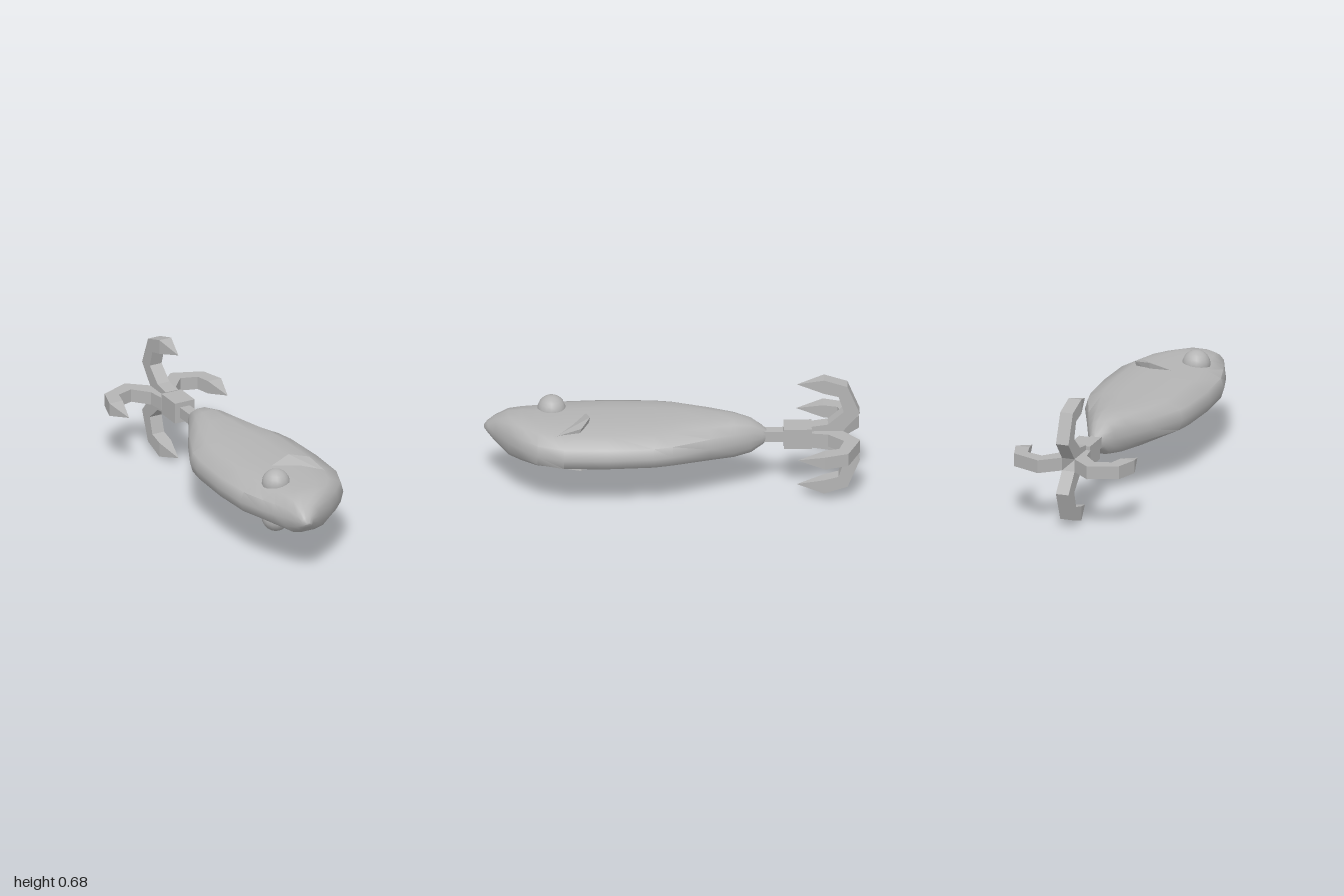
import * as THREE from 'three';
import { toCreasedNormals } from 'three/addons/utils/BufferGeometryUtils.js';
import { ConvexGeometry } from 'three/addons/geometries/ConvexGeometry.js';

const CY = 0.344; // height of the long axis

// Skin a list of equal-length rings and close both ends.
function loft(rings, crease) {
  const n = rings[0].length, idx = [];
  for (let i = 0; i < rings.length - 1; i++) {
    for (let j = 0; j < n; j++) {
      const a = i * n + j, b = i * n + (j + 1) % n;
      idx.push(a, b, b + n, a, b + n, a + n);
    }
  }
  const last = (rings.length - 1) * n;
  for (let j = 1; j < n - 1; j++) idx.push(0, j + 1, j, last, last + j, last + j + 1);
  const geo = new THREE.BufferGeometry();
  geo.setAttribute('position', new THREE.Float32BufferAttribute(rings.flat(2), 3));
  geo.setIndex(idx);
  return toCreasedNormals(geo, crease);
}

export function createModel() {
  const group = new THREE.Group();
  const grey = new THREE.MeshStandardMaterial({ color: 0xb4b4b4 });
  grey.name = 'plain grey';

  const add = (name, geo, parent = group) => {
    const mesh = new THREE.Mesh(geo, grey);
    mesh.name = name;
    parent.add(mesh);
    return mesh;
  };

  // Body: rounded slab sections from tail to nose [z, right x, left x, half height]
  const sections = [
    [-0.51, -0.02, 0.02, 0.025], [-0.48, -0.045, 0.045, 0.05], [-0.42, -0.075, 0.075, 0.09],
    [-0.33, -0.125, 0.115, 0.108], [-0.2, -0.2, 0.17, 0.11], [0, -0.298, 0.258, 0.11],
    [0.1, -0.315, 0.282, 0.11], [0.35, -0.326, 0.298, 0.11], [0.58, -0.312, 0.29, 0.11],
    [0.72, -0.268, 0.237, 0.11], [0.8, -0.236, 0.16, 0.11], [0.87, -0.205, 0.08, 0.105],
    [0.94, -0.175, -0.03, 0.065], [0.98, -0.158, -0.09, 0.03], [1, -0.14, -0.115, 0.005],
  ];
  const quarter = [[1, 0], [0.94, 0.5], [0.64, 0.88], [0.3, 1]];
  const profile = [
    ...quarter,
    ...quarter.slice(1).reverse().map(([u, v]) => [-u, v]),
    ...quarter.map(([u, v]) => [-u, -v]),
    ...quarter.slice(1).reverse().map(([u, v]) => [u, -v]),
  ];
  add('body', loft(sections.map(([z, x0, x1, h]) => profile.map(([u, v]) =>
    [(x0 + x1) / 2 + u * (x1 - x0) / 2, CY + v * h, z])), 0.85));

  // Eyes and gill flaps on both faces of the body
  for (const s of [1, -1]) {
    const side = s > 0 ? 'upper' : 'lower';
    add(side + 'Eye', new THREE.SphereGeometry(0.076, 16, 12)).position.set(-0.13, CY + s * 0.1, 0.64);
    const flap = [
      [-0.07, 0.105, 0.46], [0.06, 0.144, 0.437], [0.16, 0.127, 0.485], [0.184, 0.088, 0.64],
      [0.06, 0.09, 0.45], [0.155, 0.08, 0.5],
    ].map(([x, y, z]) => new THREE.Vector3(x, CY + s * y, z));
    add(side + 'GillFlap', new ConvexGeometry(flap));
  }

  // Link and hook block behind the tail
  add('tailLink', new THREE.BoxGeometry(0.06, 0.06, 0.13)).position.set(0, CY, -0.545);
  add('hookBlock', new THREE.BoxGeometry(0.12, 0.116, 0.15)).position.set(0, CY, -0.67);

  // Four curved hooks, each tapering to a point [outer r, outer z, inner r, inner z, half width]
  const W = 0.036;
  const arm = [
    [0.02, -0.74, 0.062, -0.74, W], [0.035, -0.91, 0.075, -0.83, W], [0.14, -1, 0.15, -0.915, W],
    [0.3, -0.935, 0.24, -0.887, W], [0.34, -0.81, 0.26, -0.81, W], [0.3, -0.665, 0.3, -0.665, 0],
  ];
  const armGeo = loft(arm.map(([ro, zo, ri, zi, w]) =>
    [[ri, w, zi], [ri, -w, zi], [ro, -w, zo], [ro, w, zo]]), 0.2);
  const hooks = new THREE.Group();
  hooks.name = 'hooks';
  hooks.position.y = CY;
  ['left', 'top', 'right', 'bottom'].forEach((name, i) => {
    add(name + 'Hook', armGeo, hooks).rotation.z = i * Math.PI / 2;
  });
  group.add(hooks);
  return group;
}
